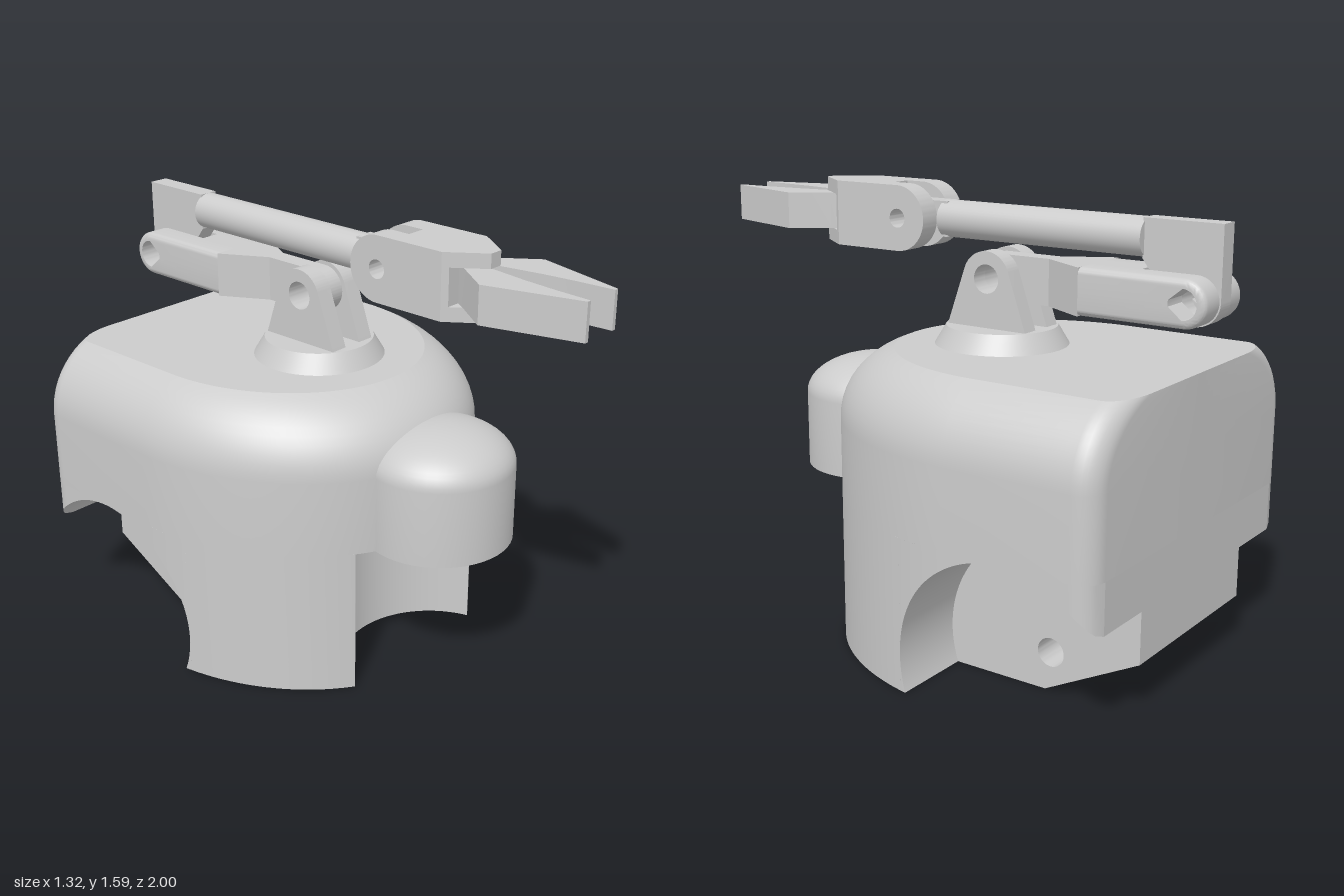
import * as THREE from 'three';
import { toCreasedNormals } from 'three/addons/utils/BufferGeometryUtils.js';

const material = new THREE.MeshStandardMaterial({ color: 0xcccccc, side: THREE.DoubleSide });
const CUT = 0.535;                       // height of all wheel cut-outs
const BACK = -0.93, WELL_X = 0.35;
const AXLE = { z: -0.6, y: 0.135, r: 0.4 };

function add(parent, name, geometry, crease = 0.4) {
  const mesh = new THREE.Mesh(toCreasedNormals(geometry, crease), material);
  mesh.name = name;
  parent.add(mesh);
  return mesh;
}

// Adds the same geometry on both sides of x = 0
function addPair(parent, name, geometry, crease) {
  const left = add(parent, name + 'Left', geometry, crease);
  const right = left.clone();
  right.name = name + 'Right';
  right.scale.x = -1;
  parent.add(right);
}

// Surface through a list of cross-sections with equal point counts
function skin(rings) {
  const n = rings[0].length, index = [];
  for (let j = 0; j < rings.length - 1; j++)
    for (let i = 0; i < n - 1; i++) {
      const a = j * n + i, b = a + 1, c = a + n, d = c + 1;
      index.push(a, c, b, b, c, d);
    }
  const g = new THREE.BufferGeometry();
  g.setAttribute('position', new THREE.Float32BufferAttribute(rings.flat(2), 3));
  g.setIndex(index);
  g.computeVertexNormals();
  return g;
}

const polygon = pts => new THREE.Shape(pts.map(p => new THREE.Vector2(p[0], p[1])));

function hole(shape, x, y, r) {
  shape.holes.push(new THREE.Path().absarc(x, y, r, 0, Math.PI * 2, true));
  return shape;
}

// Shape drawn in (z, y), extruded from x0 to x1
function sideExtrude(shape, x0, x1) {
  return new THREE.ExtrudeGeometry(shape, { depth: x1 - x0, bevelEnabled: false, curveSegments: 24 })
    .rotateY(-Math.PI / 2).translate(x1, 0, 0);
}

// Shape drawn in (x, z), extruded from y0 to y1
function planExtrude(shape, y0, y1) {
  return new THREE.ExtrudeGeometry(shape, { depth: y1 - y0, bevelEnabled: false, curveSegments: 24 })
    .rotateX(Math.PI / 2).translate(0, y1, 0);
}

// Bar with one rounded, drilled end at z and a flat end at zFlat
function eyeBar(z, y, r, zFlat, holeR) {
  const s = new THREE.Shape(), front = z > zFlat;
  s.moveTo(zFlat, y - r);
  s.lineTo(z, y - r);
  s.absarc(z, y, r, -Math.PI / 2, Math.PI / 2, !front);
  s.lineTo(zFlat, y + r);
  return hole(s, z, y, holeR);
}

// Half of the body's plan, back centre to front centre, drawn in by `inset`
function halfPlan(inset) {
  const a = 0.66 - inset, b = 0.783 - 1.3 * inset, rx = 0.08 + 0.55 * inset, pts = [[0, BACK]];
  for (let i = 0; i <= 8; i++) {
    const t = i / 8 * Math.PI / 2;
    pts.push([a - rx + rx * Math.sin(t), BACK + 0.08 - 0.08 * Math.cos(t)]);
  }
  for (let i = 0; i <= 36; i++) {
    const t = i / 36 * Math.PI / 2;
    pts.push([a * Math.cos(t), -0.38 + b * Math.sin(t)]);
  }
  return pts;
}

// Half width of the body at depth z
function halfWidth(z) {
  if (z > -0.38) return 0.66 * Math.sqrt(1 - ((z + 0.38) / 0.783) ** 2);
  if (z > -0.85) return 0.66;
  return 0.58 + Math.sqrt(Math.max(0, 0.0064 - (z + 0.85) ** 2));
}

function buildBody() {
  const body = new THREE.Group();
  body.name = 'body';

  // Upper shell with rounded shoulders, closed above and below
  const levels = [[0, CUT]];
  for (let i = 0; i <= 10; i++) {
    const t = i / 10 * 1.134;
    levels.push([0.276 * (1 - Math.cos(t)), 0.81 + 0.276 * Math.sin(t)]);
  }
  const rings = levels.map(([inset, y]) => {
    const half = halfPlan(inset);
    const mirror = half.slice(0, -1).reverse().map(([x, z]) => [-x, z]);
    return [...half, ...mirror].map(([x, z]) => [x, y, z]);
  });
  const collapse = ring => ring.map(p => [0, p[1], -0.38]);
  add(body, 'upperShell', skin([collapse(rings[0]), ...rings, collapse(rings.at(-1))]), 0.32);

  // Front block with the round front wheel recess
  const side = [[halfWidth(-0.2), -0.2],
    ...halfPlan(0).filter(([x, z]) => z > -0.2 && x > 0.325), [0.32, 0.305]];
  const front = polygon(side);
  const t = Math.atan2(0.305 - 0.4, 0.32);
  front.absarc(0, 0.4, 0.334, t, -Math.PI - t, true);
  side.reverse().forEach(([x, z]) => front.lineTo(-x, z));
  add(body, 'frontBlock', planExtrude(front, 0, CUT));

  // Rear core between the wheel wells, drilled for the axle
  const core = polygon([[BACK, 0.18], [-0.58, 0], [-0.2, 0], [-0.2, CUT], [BACK, CUT]]);
  add(body, 'rearCore', sideExtrude(hole(core, AXLE.z, AXLE.y, 0.05), -WELL_X, WELL_X));

  // Wheel arches: ceiling plus the outer wall beside it
  const a0 = -Math.asin(AXLE.y / AXLE.r), a1 = Math.acos((BACK - AXLE.z) / AXLE.r);
  const sections = [];
  for (let i = 0; i <= 72; i++) {
    const a = a0 + (a1 - a0) * i / 72;
    const z = AXLE.z + AXLE.r * Math.cos(a), y = AXLE.y + AXLE.r * Math.sin(a);
    const x = halfWidth(z);
    sections.push([[WELL_X, y, z], [x, y, z], [x, a < 0 ? 0 : CUT, z]]);
  }
  addPair(body, 'wheelArch', skin(sections));
  const yBack = AXLE.y + AXLE.r * Math.sin(a1);
  addPair(body, 'archBackWall', skin([[[WELL_X, yBack, BACK], [0.58, yBack, BACK]],
    [[WELL_X, CUT, BACK], [0.58, CUT, BACK]]]));

  // Domed nose over the front wheel
  const profile = [new THREE.Vector2(0, CUT), new THREE.Vector2(0.265, CUT)];
  for (let i = 0; i <= 14; i++) {
    const u = i / 14 * Math.PI / 2;
    profile.push(new THREE.Vector2(0.265 * Math.cos(u), 0.81 + 0.14 * Math.sin(u)));
  }
  add(body, 'noseDome', new THREE.LatheGeometry(profile, 48).translate(0, 0, 0.4));
  return body;
}

function buildArm() {
  const arm = new THREE.Group();
  arm.name = 'arm';
  const P = 1.295, ZB = -0.16, ZE = -0.915, R = 0.08;

  // Turntable and twin pivot brackets
  add(arm, 'turntable', new THREE.CylinderGeometry(0.195, 0.235, 0.067, 64).translate(0, 1.0925, ZB));
  const bracket = new THREE.Shape();
  bracket.moveTo(ZB - 0.162, 1.12);
  bracket.lineTo(ZB + 0.162, 1.12);
  bracket.absarc(ZB, P, 0.095, 0.35, Math.PI - 0.35, false);
  addPair(arm, 'bracket', sideExtrude(hole(bracket, ZB, P, 0.05), 0.035, 0.1));

  // Lower arm: thin web, tapered shoulder and fork prongs with soft outer edges
  add(arm, 'lowerArmWeb', sideExtrude(eyeBar(ZB, P, R, -0.72, 0.05), -0.035, 0.035));
  add(arm, 'lowerArmTaper', planExtrude(polygon(
    [[0.13, -0.54], [0.035, -0.37], [-0.035, -0.37], [-0.13, -0.54]]), P - R, P + R));
  const outline = inset => {
    const r = R - inset, pts = [[-0.54, 0], [-0.54, -r]];
    for (let i = 0; i <= 24; i++) {
      const t = -Math.PI / 2 - i / 24 * Math.PI;
      pts.push([ZE + r * Math.cos(t), r * Math.sin(t)]);
    }
    return [...pts, [-0.54, r], [-0.54, 0]];
  };
  const edge = (inset, x) => outline(inset).map(([z, y]) => [x, P + y, z]);
  const bore = x => outline(0).map(([z, y]) => {
    const d = 0.05 / Math.hypot(z - ZE, y);
    return [x, P + y * d, ZE + (z - ZE) * d];
  });
  const rims = [0, 1, 2, 3, 4].map(i => {
    const t = i / 4 * Math.PI / 2;
    return edge(0.022 * (1 - Math.cos(t)), 0.108 + 0.022 * Math.sin(t));
  });
  addPair(arm, 'lowerArmProng', skin([bore(0.035), edge(0, 0.035), ...rims, bore(0.13), bore(0.035)]));

  // Upper arm: elbow tab, round bar and wrist tab
  const tab = polygon([[-1, 1.54], [-0.72, 1.54], [-0.72, 1.41], [ZE + 0.065, P - 0.053]]);
  tab.absarc(ZE, P, 0.085, -0.68, -Math.PI, true);
  add(arm, 'elbowTab', sideExtrude(hole(tab, ZE, P, 0.05), -0.035, 0.035));
  add(arm, 'upperArmBar', new THREE.CylinderGeometry(0.065, 0.065, 0.8, 40)
    .rotateX(Math.PI / 2).translate(0, 1.475, -0.325));
  add(arm, 'wristTab', sideExtrude(eyeBar(0.21, 1.475, 0.062, 0.05, 0.033), -0.035, 0.035));
  return arm;
}

function buildGripper() {
  const gripper = new THREE.Group();
  gripper.name = 'gripper';

  // Forked head with a slot for the claws
  addPair(gripper, 'headProng', sideExtrude(eyeBar(0.21, 1.475, 0.115, 0.28, 0.033), 0.035, 0.115));
  const mirrored = pts => polygon([...pts, ...pts.slice().reverse().map(([x, z]) => [-x, z])]);
  add(gripper, 'headBlock', planExtrude(mirrored([[0.115, 0.28], [0.115, 0.48], [0.101, 0.5]]), 1.36, 1.59));
  for (const [name, y] of [['headTopPlate', 1.54], ['headBottomPlate', 1.36]])
    add(gripper, name, planExtrude(mirrored([[0.101, 0.5], [0.025, 0.605]]), y, y + 0.05));

  // Claws
  const claw = polygon([[0.005, 0.5], [0.05, 0.5], [0.08, 0.545], [0.17, 0.67], [0.08, 1], [0.065, 1],
    [0.056, 0.87], [0.043, 0.75], [0.02, 0.61]]);
  addPair(gripper, 'claw', planExtrude(claw, 1.41, 1.54), 0.2);
  return gripper;
}

export function createModel() {
  const model = new THREE.Group();
  model.name = 'armedVehicleBody';
  model.add(buildBody(), buildArm(), buildGripper());
  return model;
}
